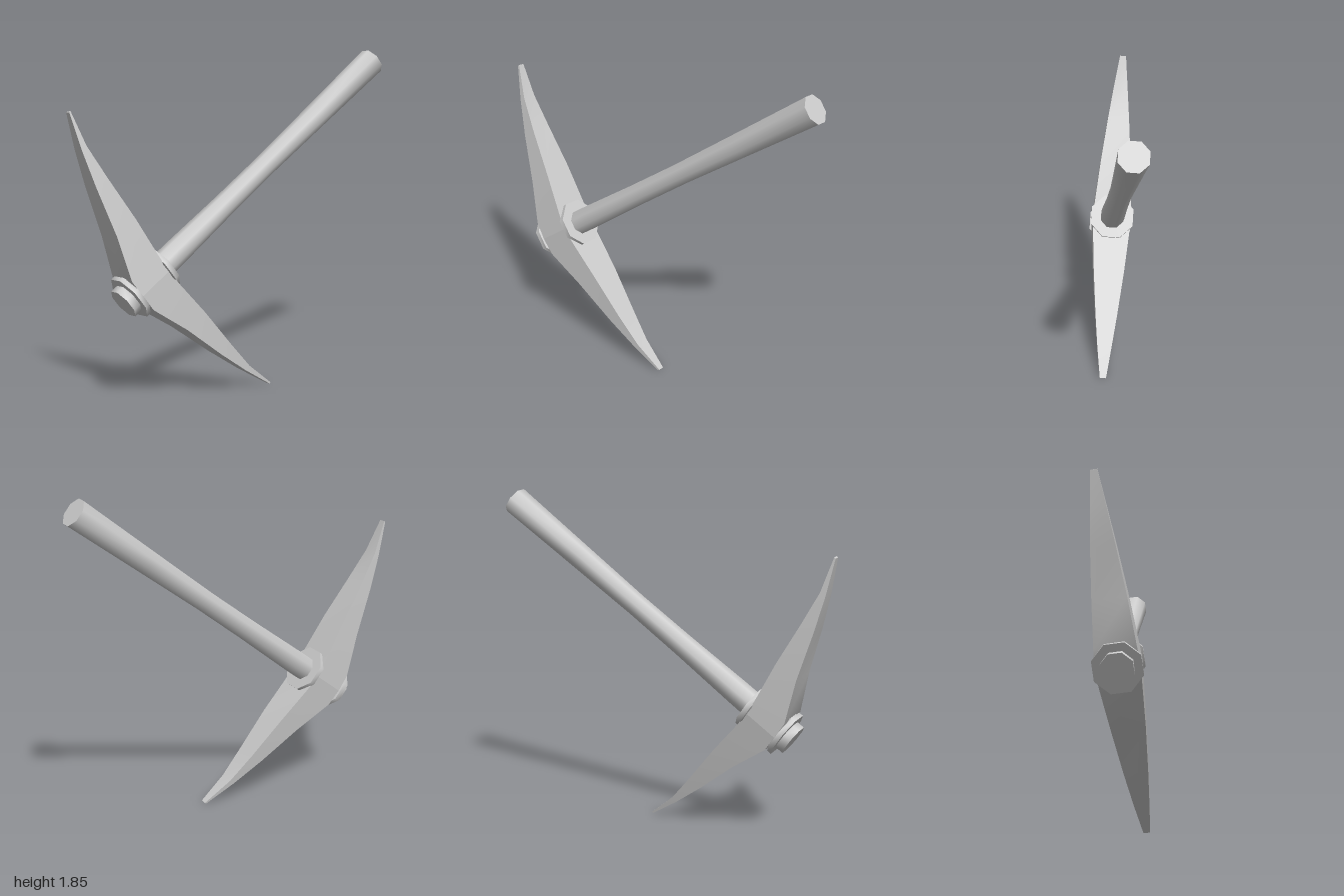
import * as THREE from 'three';
import { toCreasedNormals } from 'three/addons/utils/BufferGeometryUtils.js';

const material = new THREE.MeshStandardMaterial({ color: 0xcccccc });

function addMesh(parent, name, geometry, crease) {
  const mesh = new THREE.Mesh(toCreasedNormals(geometry, crease), material);
  mesh.name = name;
  parent.add(mesh);
  return mesh;
}

// Eight-sided turned part from [radius, height] points, closed at both ends
function turned(points) {
  const profile = [[0, points[0][1]], ...points, [0, points[points.length - 1][1]]];
  return new THREE.LatheGeometry(profile.map(([r, y]) => new THREE.Vector2(r, y)), 8, Math.PI / 8);
}

// Blade skinned over rectangular sections: [distance, outer edge, inner edge, half width]
function bladeGeometry(sections) {
  const rings = sections.map(([x, lo, hi, w]) => [
    [x, lo, -w], [x, hi, -w], [x, hi, w], [x, lo, w],
  ]);
  const positions = [];
  const quad = (a, b, c, d) => positions.push(...a, ...b, ...c, ...a, ...c, ...d);
  for (let i = 0; i < rings.length - 1; i++) {
    for (let j = 0; j < 4; j++) {
      const k = (j + 1) % 4;
      quad(rings[i][j], rings[i][k], rings[i + 1][k], rings[i + 1][j]);
    }
  }
  quad(...rings[rings.length - 1]);
  const geometry = new THREE.BufferGeometry();
  geometry.setAttribute('position', new THREE.Float32BufferAttribute(positions, 3));
  return geometry;
}

export function createModel() {
  const model = new THREE.Group();
  model.name = 'pickaxe';

  // Tool built upright along y, blades along x, then leaned into its pose
  const tool = new THREE.Group();
  tool.name = 'tool';
  model.add(tool);

  // Handle, slimmer in the middle, its butt poking out below the head
  addMesh(tool, 'handle', turned([
    [0.09, 0], [0.09, 0.05], [0.074, 0.06], [0.072, 0.4], [0.064, 0.8],
    [0.062, 1.15], [0.07, 1.6], [0.08, 2.11],
  ]), 0.9);

  // Eye of the head with a rim at each end
  addMesh(tool, 'eye', turned([
    [0.135, 0.045], [0.135, 0.072], [0.118, 0.076], [0.118, 0.266],
    [0.135, 0.272], [0.135, 0.3],
  ]), 0.9);

  // Two matching curved blades
  const blade = bladeGeometry([
    [0, 0.074, 0.27, 0.115],
    [0.1, 0.076, 0.278, 0.108],
    [0.33, 0.165, 0.305, 0.09],
    [0.59, 0.244, 0.325, 0.064],
    [0.78, 0.31, 0.345, 0.042],
    [0.965, 0.386, 0.396, 0.018],
  ]);
  addMesh(tool, 'upperBlade', blade, 0.5);
  addMesh(tool, 'lowerBlade', blade, 0.5).rotation.y = Math.PI;

  // Lean of the whole tool
  const up = new THREE.Vector3(0.145, 1.235, -1.705).normalize();
  const along = new THREE.Vector3(-0.3, 1.56, 1.1);
  along.addScaledVector(up, -along.dot(up)).normalize();
  const across = new THREE.Vector3().crossVectors(along, up);
  tool.quaternion.setFromRotationMatrix(new THREE.Matrix4().makeBasis(along, up, across));
  tool.position.set(-0.045, 0.56, 0.76);

  return model;
}
